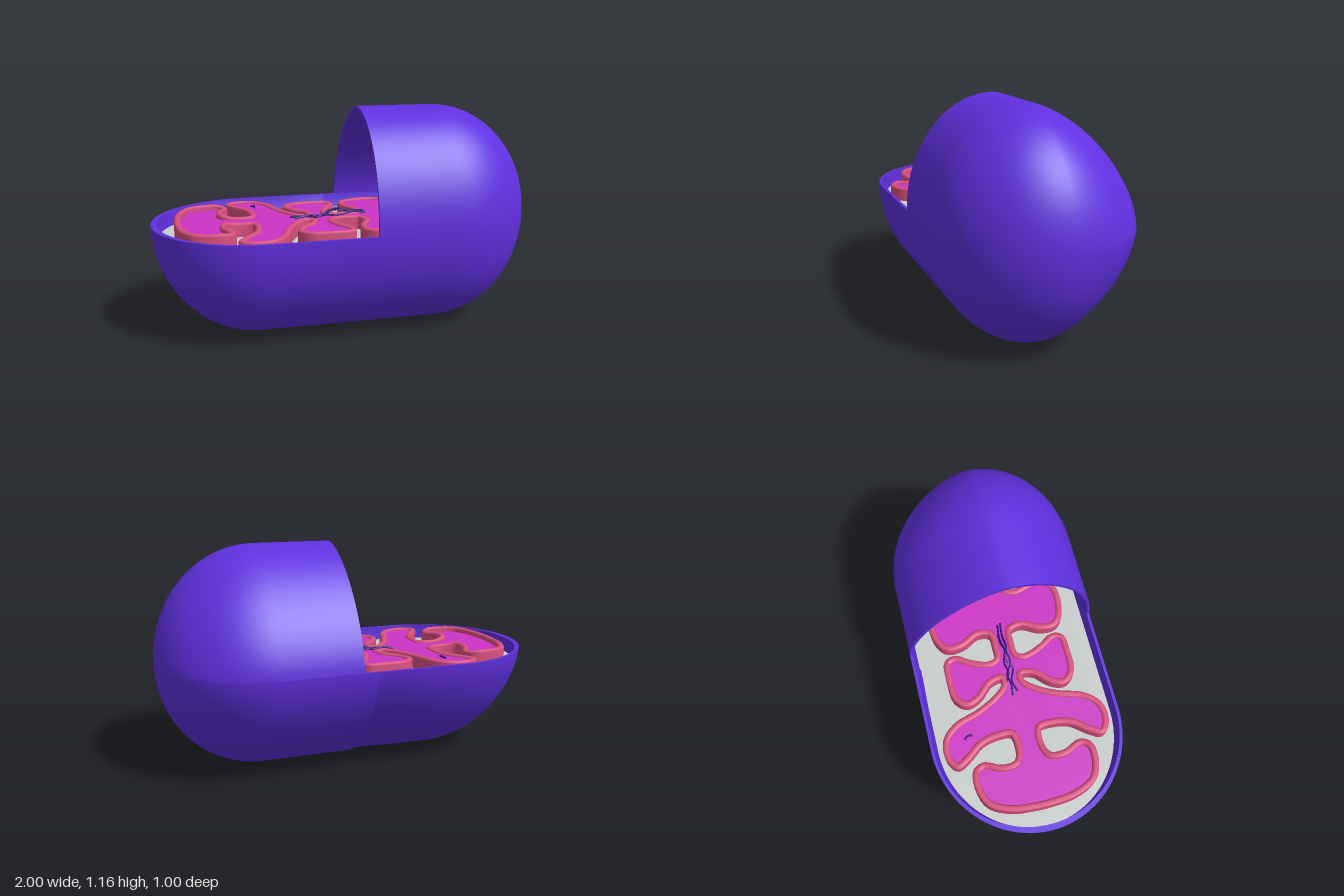
import * as THREE from 'three';
import { mergeGeometries } from 'three/addons/utils/BufferGeometryUtils.js';

const MID = 0.585, PLATE_Y = 0.51;

const paint = (name, color) => {
  const m = new THREE.MeshStandardMaterial({ color, side: THREE.DoubleSide });
  m.name = name;
  return m;
};

// Surface from a rule f(i, j) -> [x, y, z]
function grid(nu, nv, f) {
  const pos = [], idx = [];
  for (let i = 0; i <= nu; i++) for (let j = 0; j <= nv; j++) pos.push(...f(i, j));
  for (let i = 0; i < nu; i++) for (let j = 0; j < nv; j++) {
    const a = i * (nv + 1) + j, b = a + nv + 1;
    idx.push(a, b, a + 1, b, b + 1, a + 1);
  }
  const g = new THREE.BufferGeometry();
  g.setAttribute('position', new THREE.Float32BufferAttribute(pos, 3));
  g.setIndex(idx);
  g.computeVertexNormals();
  return g;
}

// Egg-shaped capsule section: round in front, tapering behind
function shellPoint(x, angle, scale, taper) {
  const ax = Math.abs(x);
  const s = scale * (ax < 0.47 ? 1 : Math.sqrt(Math.max(0, 1 - ((ax - 0.47) / 0.53) ** 2)));
  const sn = Math.sin(angle), cs = Math.cos(angle);
  const n = 1.6 - taper * (1 - THREE.MathUtils.smoothstep(ax, 0, 0.45));
  const z = cs >= 0 ? 0.04 + 0.46 * cs
    : 0.04 - 0.54 * Math.pow(Math.max(0, 1 - Math.pow(Math.abs(sn), n)), 1 / n);
  return [x * (ax > 0.47 ? 1 - (1 - scale) * (ax - 0.47) / 0.53 : 1), MID + 0.58 * s * sn, s * z];
}

// Half shell with outer wall, inner wall and closed rims
function halfShell(x0, dir, a0, taper = 0) {
  const xs = [];
  for (let i = 0; i < 10; i++) xs.push(dir * (x0 + (0.47 - x0) * i / 10));
  for (let i = 0; i <= 28; i++) xs.push(dir * (0.47 + 0.53 * Math.sin(i / 28 * Math.PI / 2)));
  const nu = xs.length - 1, nv = 64, IN = 0.97;
  const at = (i, j, s) => shellPoint(xs[i], a0 + j / nv * Math.PI, s, taper);
  const pick = k => (k ? IN : 1);
  return mergeGeometries([
    grid(nu, nv, (i, j) => at(i, j, 1)),
    grid(nu, nv, (i, j) => at(i, j, IN)),
    grid(1, nv, (k, j) => at(0, j, pick(k))),
    grid(nu, 1, (i, k) => at(i, 0, pick(k))),
    grid(nu, 1, (i, k) => at(i, nv, pick(k))),
  ]);
}

// One side of the folded membrane outline, as x, z
const FOLD = [
  [-0.865, -0.05], [-0.85, -0.17], [-0.80, -0.27], [-0.72, -0.305], [-0.63, -0.30], [-0.605, -0.255],
  [-0.64, -0.17], [-0.635, -0.09], [-0.58, -0.06], [-0.475, -0.07], [-0.465, -0.15], [-0.485, -0.24],
  [-0.55, -0.33], [-0.575, -0.385], [-0.52, -0.42], [-0.43, -0.41], [-0.365, -0.34], [-0.325, -0.22],
  [-0.27, -0.11], [-0.21, -0.045], [-0.165, -0.05], [-0.175, -0.12], [-0.245, -0.20], [-0.265, -0.265],
  [-0.22, -0.315], [-0.10, -0.325], [-0.02, -0.315], [-0.005, -0.27], [-0.045, -0.20], [-0.08, -0.10],
  [-0.06, -0.05], [0.02, -0.042], [0.09, -0.05], [0.11, -0.12], [0.065, -0.22], [0.065, -0.30],
  [0.13, -0.345], [0.28, -0.345], [0.33, -0.28], [0.30, -0.13], [0.34, -0.06], [0.41, -0.07],
  [0.42, -0.20], [0.41, -0.33], [0.48, -0.38], [0.55, -0.33], [0.56, -0.18], [0.60, -0.08],
  [0.66, -0.08], [0.67, -0.20], [0.74, -0.26], [0.82, -0.20], [0.855, -0.06],
];

export function createModel() {
  const group = new THREE.Group();
  const purple = paint('purple shell', 0x6030e0);
  const grey = paint('grey matrix', 0xc8cdcb);
  const magenta = paint('magenta interior', 0xcc33c6);
  const pink = paint('pink membrane', 0xd9507f);
  const navy = paint('navy strands', 0x2a0f78);
  const add = (name, geo, mat) => {
    const m = new THREE.Mesh(geo, mat);
    m.name = name;
    group.add(m);
    return m;
  };

  // Outer shell: cut-away half and covered half
  add('openHalfShell', halfShell(0, -1, Math.PI, 0.2), purple);
  add('coveredLowerShell', halfShell(0, 1, Math.PI), purple);
  add('coveredUpperShell', halfShell(0.07, 1, 0), purple);

  // Matrix floor, a stadium just inside the shell
  const floor = new THREE.Shape();
  for (let i = 0; i < 96; i++) {
    const a = i / 96 * Math.PI * 2, c = Math.cos(a);
    const x = Math.sign(c) * 0.46 + 0.505 * c, z = 0.468 * Math.sin(a);
    i ? floor.lineTo(x, z) : floor.moveTo(x, z);
  }
  add('matrixFloor', new THREE.ShapeGeometry(floor).rotateX(-Math.PI / 2).translate(0, PLATE_Y, 0), grey);

  // Folded membrane: closed curve mirrored across z = 0
  const pts = [...FOLD, ...FOLD.map(([x, z]) => [x, -z]).reverse()];
  const curve = new THREE.CatmullRomCurve3(pts.map(([x, z]) => new THREE.Vector3(x, 0, z)), true, 'centripetal');
  const N = 640;
  const path = curve.getPoints(N);
  const rise = x => 0.016 * (1 - THREE.MathUtils.smoothstep(x, -0.66, -0.56));

  // Wall section with a rounded top, as offset and height
  const section = [[-0.017, 0], [-0.017, 0.062], [-0.012, 0.07], [0, 0.074], [0.012, 0.07], [0.017, 0.062], [0.017, 0]];
  add('foldedMembraneWall', grid(N, section.length - 1, (i, j) => {
    const p = path[i], t = curve.getTangent((i % N) / N);
    const [o, h] = section[j];
    return [p.x - t.z * o, PLATE_Y + h + (h ? rise(p.x) : 0), p.z + t.x * o];
  }), pink);

  // Filled space within the folds
  const fill = new THREE.Shape(path.slice(0, N).map(p => new THREE.Vector2(p.x, -p.z)));
  add('membraneInterior', new THREE.ShapeGeometry(fill).rotateX(-Math.PI / 2).translate(0, 0.572, 0), magenta);

  // Thin coiled strands along the middle
  const strands = [
    [[-0.28, 0.575, -0.02], [-0.22, 0.582, -0.012], [-0.16, 0.578, -0.02], [-0.1, 0.585, 0.012], [-0.04, 0.618, 0.0], [0.02, 0.6, -0.015], [0.12, 0.597, -0.005]],
    [[-0.26, 0.576, 0.012], [-0.2, 0.58, -0.005], [-0.13, 0.58, 0.018], [-0.08, 0.6, -0.01], [-0.02, 0.612, 0.01], [0.05, 0.598, 0.004], [0.13, 0.59, 0.012]],
    [[-0.2, 0.576, -0.035], [-0.15, 0.58, -0.01], [-0.09, 0.578, -0.02], [-0.02, 0.58, 0.0], [0.06, 0.59, -0.018]],
    [[-0.45, 0.575, -0.32], [-0.435, 0.579, -0.3], [-0.438, 0.577, -0.275]],
  ];
  strands.forEach((s, i) => {
    const c = new THREE.CatmullRomCurve3(s.map(p => new THREE.Vector3(...p)));
    add('strand' + (i + 1), new THREE.TubeGeometry(c, 40, 0.005, 6), navy);
  });

  return group;
}
